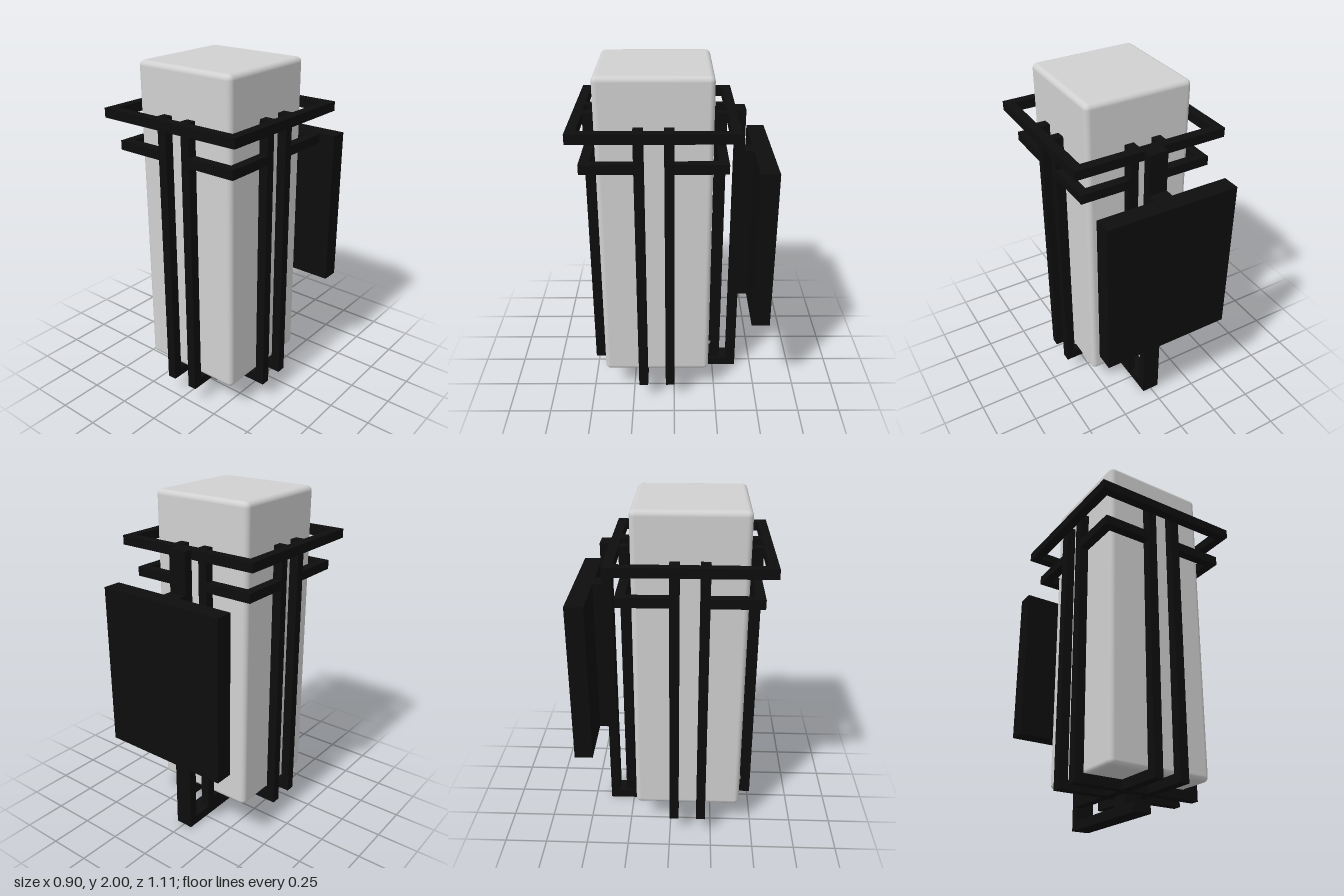
import * as THREE from 'three';
import { RoundedBoxGeometry } from 'three/addons/geometries/RoundedBoxGeometry.js';

export function createModel() {
  const model = new THREE.Group();
  model.name = 'wallLantern';

  const blackMetal = new THREE.MeshStandardMaterial({ color: 0x0d0d0d });
  blackMetal.name = 'black metal';
  const frostedGlass = new THREE.MeshStandardMaterial({ color: 0xd0d0d0 });
  frostedGlass.name = 'frosted glass';

  // Box given by its limits on each axis
  function bar(parent, name, [x0, x1], [y0, y1], [z0, z1]) {
    const mesh = new THREE.Mesh(new THREE.BoxGeometry(x1 - x0, y1 - y0, z1 - z0), blackMetal);
    mesh.position.set((x0 + x1) / 2, (y0 + y1) / 2, (z0 + z1) / 2);
    mesh.name = name;
    parent.add(mesh);
  }

  const T = 0.054;          // bar thickness
  const OUT = 0.396;        // outer face of the cage
  const IN = OUT - T;
  const RING = OUT + T;     // outer face of the top ring
  const BASE = 0.112, TOP = 1.746;

  // Lantern body is centred in front of the wall bracket
  const lantern = new THREE.Group();
  lantern.name = 'lantern';
  lantern.position.z = 0.106;
  model.add(lantern);

  // Glass shade
  const shade = new THREE.Mesh(new RoundedBoxGeometry(0.632, 1.834, 0.632, 4, 0.03), frostedGlass);
  shade.name = 'glassShade';
  shade.position.y = 0.166 + 0.917;
  lantern.add(shade);

  // Four identical cage sides, each turned a quarter further
  for (let i = 0; i < 4; i++) {
    const side = new THREE.Group();
    side.name = 'cageSide';
    side.rotation.y = i * Math.PI / 2;
    bar(side, 'topRingBar', [-RING, OUT], [TOP - T, TOP], [OUT, RING]);
    bar(side, 'post', [-2 * T, -T], [BASE, TOP], [IN, OUT]);
    bar(side, 'post', [T, 2 * T], [BASE, TOP], [IN, OUT]);
    // Lower band stops at the posts, leaving the middle open
    bar(side, 'lowerBand', [-OUT, -2 * T], [1.506, 1.56], [IN, OUT]);
    bar(side, 'lowerBand', [2 * T, IN], [1.506, 1.56], [IN, OUT]);
    lantern.add(side);
  }

  // Crossed bars under the shade join opposite posts
  for (const [a, b] of [[-2 * T, -T], [T, 2 * T]]) {
    bar(lantern, 'floorBarLengthwise', [a, b], [BASE, BASE + T], [-IN, IN]);
    bar(lantern, 'floorBarCrosswise', [-IN, IN], [BASE, BASE + T], [a, b]);
  }
  bar(lantern, 'supportStub', [-0.052, 0.052], [T, BASE + T], [-0.05, 0.05]);

  // Wall bracket: foot, upright, spacer and back plate
  const bracket = new THREE.Group();
  bracket.name = 'wallBracket';
  model.add(bracket);
  bar(bracket, 'bracketFoot', [-T, T], [0, T], [-0.344, 0.24]);
  bar(bracket, 'bracketUpright', [-T, T], [0, TOP], [-0.398, -0.344]);
  bar(bracket, 'plateSpacer', [-T, T], [0.552, 1.506], [-0.452, -0.398]);
  bar(bracket, 'backPlate', [-0.396, 0.396], [0.552, 1.506], [-0.558, -0.452]);

  return model;
}
